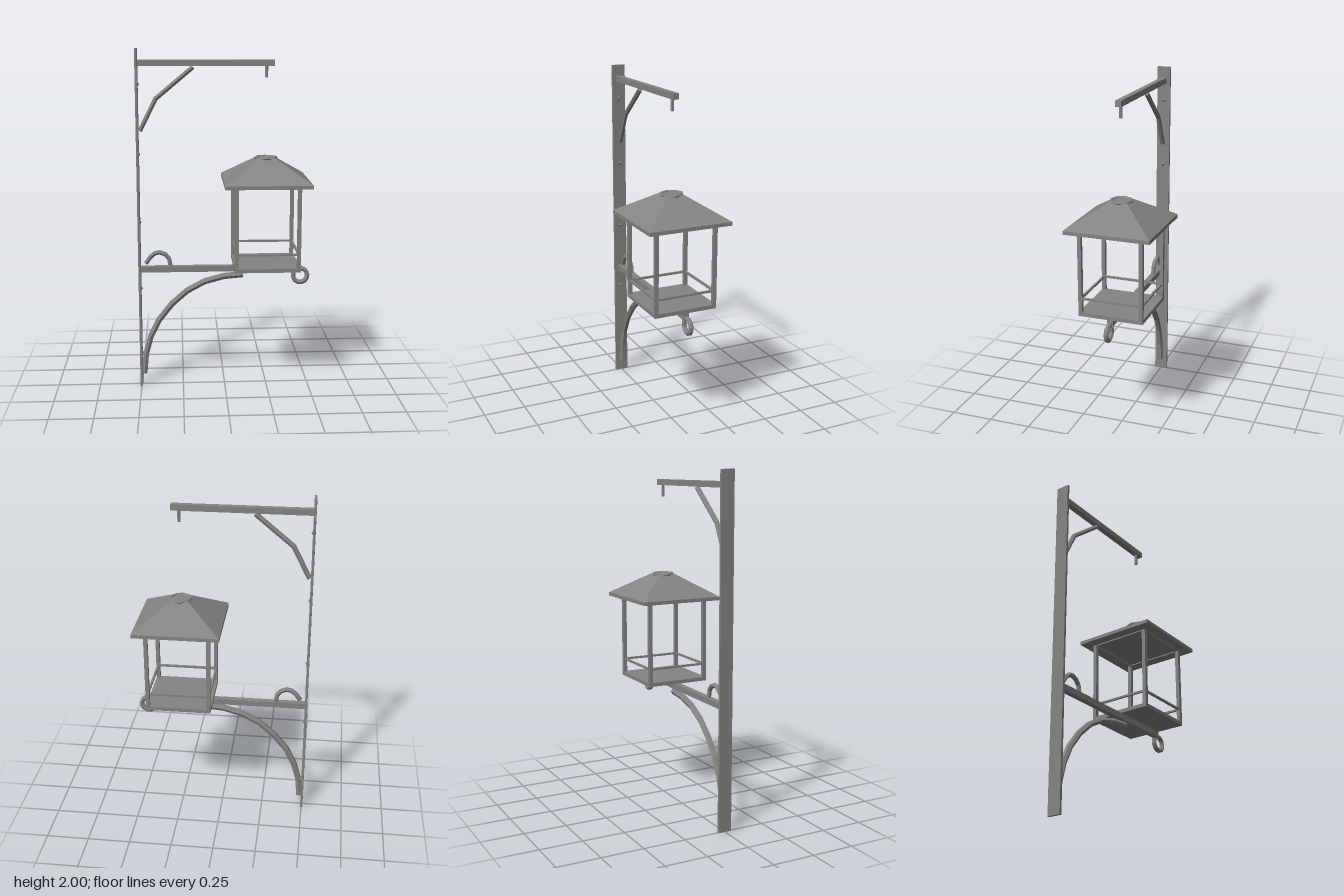
import * as THREE from 'three';

const iron = new THREE.MeshStandardMaterial({ color: 0x848482, flatShading: true });
iron.name = 'grey iron';

// Sweeps a hexagonal bar along a path in the x-y plane, with mitred joints and capped ends
function barGeometry(path, r, sides = 6) {
  const pts = path.map(([x, y]) => new THREE.Vector2(x, y));
  const pos = [], idx = [];
  pts.forEach((p, i) => {
    const a = p.clone().sub(pts[Math.max(i - 1, 0)]).normalize();
    const b = pts[Math.min(i + 1, pts.length - 1)].clone().sub(p).normalize();
    const t = a.add(b).normalize();
    for (let j = 0; j < sides; j++) {
      const ang = Math.PI / 6 + (j / sides) * Math.PI * 2;
      const n = Math.cos(ang) * r;
      pos.push(p.x - t.y * n, p.y + t.x * n, Math.sin(ang) * r);
    }
  });
  const last = (pts.length - 1) * sides;
  for (let i = 0; i < last; i += sides) {
    for (let j = 0; j < sides; j++) {
      const k = (j + 1) % sides;
      idx.push(i + j, i + k, i + sides + k, i + j, i + sides + k, i + sides + j);
    }
  }
  for (let j = 1; j < sides - 1; j++) {
    idx.push(0, j + 1, j, last, last + j, last + j + 1);
  }
  const g = new THREE.BufferGeometry();
  g.setAttribute('position', new THREE.Float32BufferAttribute(pos, 3));
  g.setIndex(idx);
  const flat = g.toNonIndexed();
  flat.computeVertexNormals();
  return flat;
}

// Points along a circular arc, angles in degrees
function arc(cx, cy, r, from, to, steps) {
  return Array.from({ length: steps + 1 }, (_, i) => {
    const a = THREE.MathUtils.degToRad(from + ((to - from) * i) / steps);
    return [cx + r * Math.cos(a), cy + r * Math.sin(a)];
  });
}

export function createModel() {
  const root = new THREE.Group();
  root.name = 'hangingLanternBracket';

  const add = (name, geometry, x = 0, y = 0, z = 0, parent = root) => {
    const m = new THREE.Mesh(geometry, iron);
    m.name = name;
    m.position.set(x, y, z);
    parent.add(m);
    return m;
  };
  // Box given by its limits in x and y and its depth in z
  const box = (name, x0, x1, y0, y1, depth, z = 0, parent = root) =>
    add(name, new THREE.BoxGeometry(x1 - x0, y1 - y0, depth), (x0 + x1) / 2, (y0 + y1) / 2, z, parent);

  // Wall plate with its bolts
  box('wallPlate', -0.508, -0.494, 0, 2, 0.08);
  for (const y of [0.2, 0.6, 1.0, 1.4, 1.8]) {
    add('bolt', new THREE.OctahedronGeometry(0.018), -0.497, y).scale.x = 0.7;
  }

  // Upper arm, its brace and the hanging peg
  box('upperArm', -0.5, 0.285, 1.902, 1.936, 0.034);
  add('upperBrace', barGeometry([[-0.485, 1.535], [-0.393, 1.718], [-0.18, 1.895]], 0.015));
  add('hangingPeg', new THREE.CylinderGeometry(0.01, 0.01, 0.07, 6), 0.24, 1.87);

  // Lower arm and its curved brace
  box('lowerArm', -0.5, 0.433, 0.7, 0.735, 0.034);
  add('lowerBrace', barGeometry([
    [-0.483, 0.07], [-0.472, 0.19], [-0.442, 0.3], [-0.39, 0.405], [-0.313, 0.502],
    [-0.222, 0.582], [-0.12, 0.637], [-0.005, 0.668], [0.11, 0.678],
  ], 0.019));

  // Decorative scrolls
  add('wallScroll', barGeometry(
    [[-0.464, 0.752], [-0.438, 0.79], [-0.41, 0.813], [-0.382, 0.818], [-0.35, 0.806], [-0.328, 0.78], [-0.319, 0.735]],
    0.014));
  add('endScroll', barGeometry(
    [...arc(0.451, 0.668, 0.043, 120, -165, 10), [0.412, 0.69]], 0.015));

  // Lantern house
  const house = new THREE.Group();
  house.name = 'lanternHouse';
  house.position.x = 0.24;
  root.add(house);
  box('floor', -0.19, 0.19, 0.735, 0.757, 0.38, 0, house);
  for (const sx of [-1, 1]) {
    for (const sz of [-1, 1]) {
      const x = sx * 0.179;
      box('post', x - 0.011, x + 0.011, 0.737, 1.235, 0.022, sz * 0.179, house);
    }
  }
  // Guard rails and top frame on all four sides
  for (const [name, y0, y1, w] of [['guardRail', 0.832, 0.844, 0.012], ['topFrame', 1.222, 1.24, 0.018]]) {
    for (const s of [-1, 1]) {
      box(name, -0.17, 0.17, y0, y1, w, s * 0.179, house);
      box(name, s * 0.179 - w / 2, s * 0.179 + w / 2, y0, y1, 0.34, 0, house);
    }
  }

  // Roof: eaves slab, sloping hip and crown ring
  box('eaves', -0.248, 0.248, 1.229, 1.25, 0.496, 0, house);
  const hip = new THREE.CylinderGeometry(0.052 * Math.SQRT2, 0.248 * Math.SQRT2, 0.126, 4);
  hip.rotateY(Math.PI / 4);
  add('roof', hip, 0, 1.313, 0, house);
  const ring = new THREE.TorusGeometry(0.059, 0.009, 6, 8);
  ring.rotateX(Math.PI / 2);
  add('roofRing', ring, 0, 1.376, 0, house);

  return root;
}
